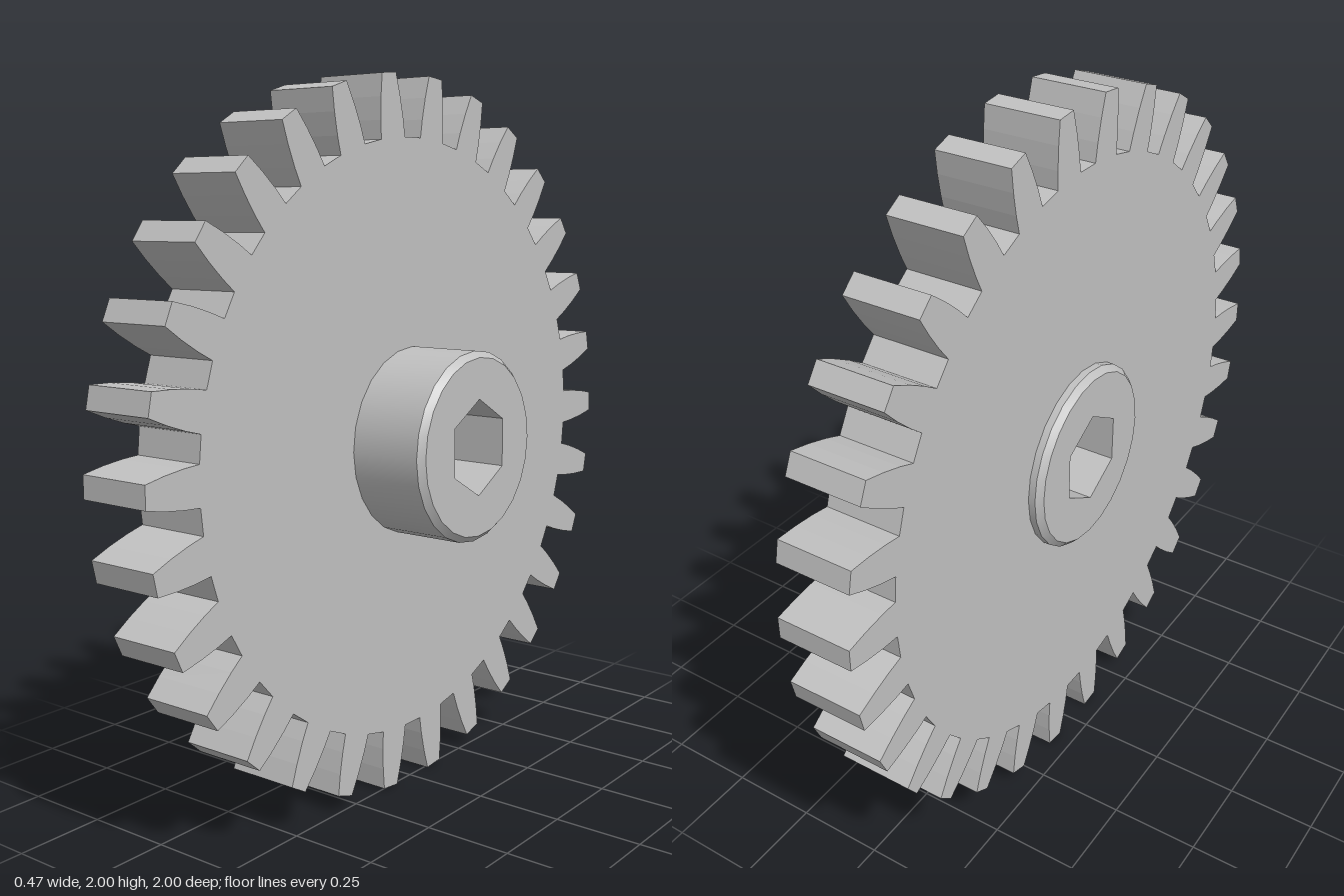
import * as THREE from 'three';
import { toCreasedNormals } from 'three/addons/utils/BufferGeometryUtils.js';

const TEETH = 30;
const HUB_SIDES = 24;
const HUB_RADIUS = 0.263;
const CHAMFER = 0.017;

// Points of a regular polygon, first corner at the given angle
function polygon(radius, sides, start = 0) {
  return Array.from({ length: sides }, (_, i) => {
    const a = start + (i / sides) * Math.PI * 2;
    return new THREE.Vector2(Math.cos(a) * radius, Math.sin(a) * radius);
  });
}

// Gear outline: one tooth profile repeated around the circle
function gearOutline() {
  const flank = [[0.83, 0.052], [0.88, 0.049], [0.94, 0.0415], [1, 0.03]]; // distance, half width
  const tooth = [
    ...flank.map(([r, w]) => new THREE.Vector2(r, -w)),
    ...flank.slice().reverse().map(([r, w]) => new THREE.Vector2(r, w)),
  ];
  const points = [];
  const centre = new THREE.Vector2();
  for (let i = 0; i < TEETH; i++) {
    const a = (i / TEETH) * Math.PI * 2;
    for (const p of tooth) points.push(p.clone().rotateAround(centre, a));
  }
  return points;
}

// Plate with a hole, extruded along x from x0 to x1
function plate(outline, hole, x0, x1) {
  const shape = new THREE.Shape(outline);
  shape.holes.push(new THREE.Path(hole));
  const geometry = new THREE.ExtrudeGeometry(shape, { depth: x1 - x0, bevelEnabled: false });
  return geometry.rotateY(Math.PI / 2).translate(x0, 0, 0);
}

export function createModel() {
  const model = new THREE.Group();
  model.name = 'spurGear';
  const grey = new THREE.MeshStandardMaterial({ color: 0xc0c0c0 });
  grey.name = 'plain grey';

  const add = (name, geometry) => {
    const mesh = new THREE.Mesh(geometry, grey);
    mesh.name = name;
    model.add(mesh);
  };

  // Toothed wheel
  add('toothedWheel', plate(gearOutline(), polygon(HUB_RADIUS - 0.005, HUB_SIDES), -0.2, 0.01));

  // Hub core: end faces and hexagonal bore
  const x0 = -0.237, x1 = 0.235;
  const inner = HUB_RADIUS - CHAMFER;
  add('hubCore', plate(polygon(inner, HUB_SIDES), polygon(0.133, 6, Math.PI / 2), x0, x1));

  // Hub rim: smooth side with chamfered ends
  const profile = [
    [inner, x0], [HUB_RADIUS, x0 + CHAMFER], [HUB_RADIUS, x1 - CHAMFER], [inner, x1],
  ].map(([r, y]) => new THREE.Vector2(r, y));
  const rim = new THREE.LatheGeometry(profile, HUB_SIDES).rotateZ(-Math.PI / 2);
  add('hubRim', toCreasedNormals(rim, 0.5));

  model.position.y = 0.997;
  const root = new THREE.Group();
  root.name = 'gear';
  root.add(model);
  return root;
}
